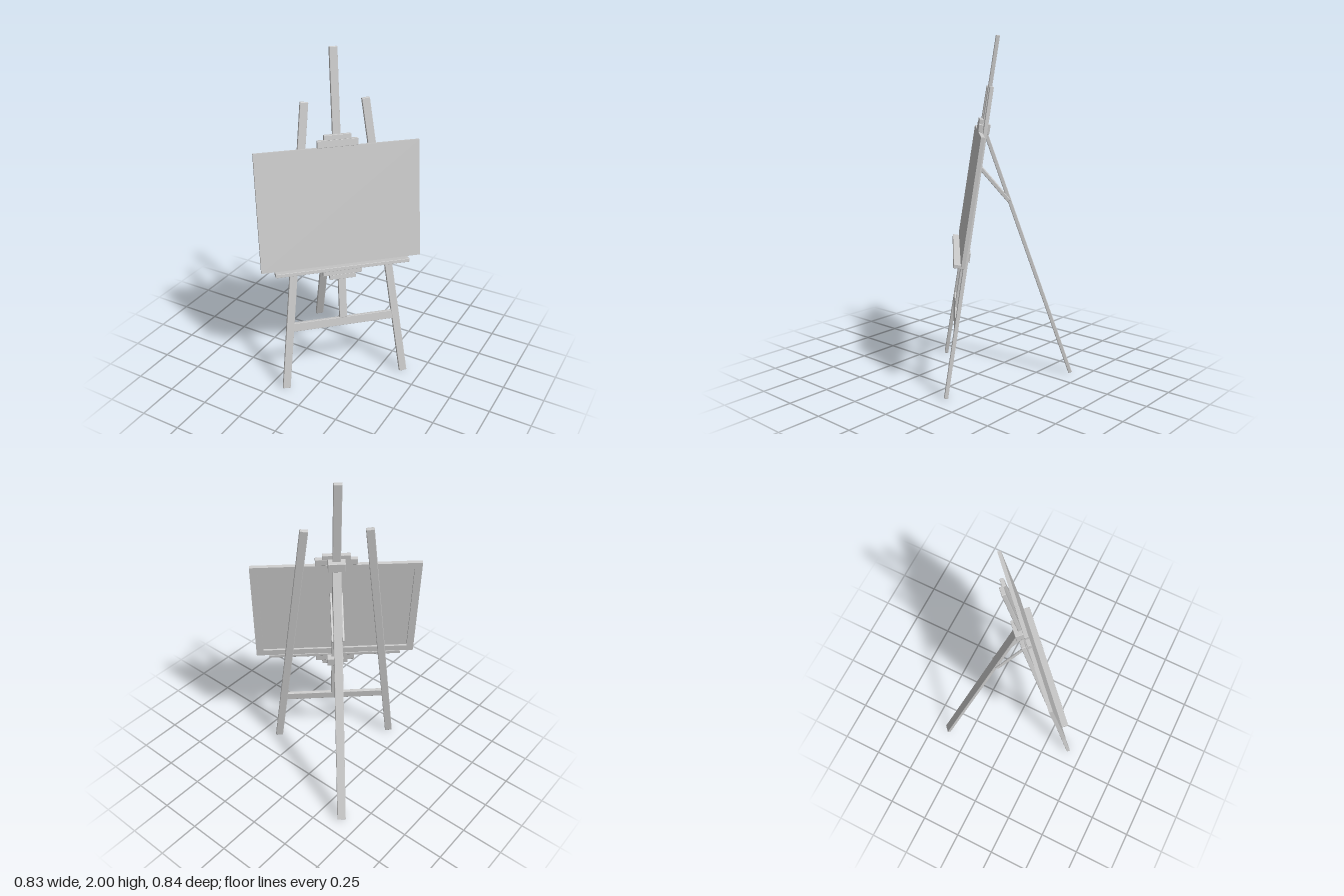
import * as THREE from 'three';
import { RoundedBoxGeometry } from 'three/addons/geometries/RoundedBoxGeometry.js';

const material = new THREE.MeshStandardMaterial({ color: 0xcccccc, flatShading: true });

// Box given by its min and max on each axis
function block(parent, name, [x0, x1], [y0, y1], [z0, z1], bevel = 0.002) {
  const size = [x1 - x0, y1 - y0, z1 - z0];
  const geometry = bevel ? new RoundedBoxGeometry(...size, 1, bevel) : new THREE.BoxGeometry(...size);
  const mesh = new THREE.Mesh(geometry, material);
  mesh.name = name;
  mesh.position.set((x0 + x1) / 2, (y0 + y1) / 2, (z0 + z1) / 2);
  parent.add(mesh);
  return mesh;
}

// Straight wooden bar running from one point to another
function bar(parent, name, from, to, width, thickness) {
  const a = new THREE.Vector3(...from), b = new THREE.Vector3(...to);
  const mesh = new THREE.Mesh(new RoundedBoxGeometry(width, a.distanceTo(b), thickness, 1, 0.003), material);
  mesh.name = name;
  mesh.position.copy(a).lerp(b, 0.5);
  mesh.quaternion.setFromUnitVectors(new THREE.Vector3(0, 1, 0), b.sub(a).normalize());
  parent.add(mesh);
  return mesh;
}

// Stepped clamp that slides on the mast; dir is 1 for upward steps, -1 for downward
function clamp(parent, name, v, dir) {
  const group = new THREE.Group();
  group.name = name;
  const span = (a, b) => [v + dir * a, v + dir * b].sort((p, q) => p - q);
  block(group, 'clampWideStep', [-0.117, 0.117], span(0, 0.042), [0.011, 0.034]);
  block(group, 'clampNarrowStep', [-0.078, 0.078], span(0.04, 0.07), [0.011, 0.034]);
  block(group, 'clampBackBlock', [-0.048, 0.048], span(-0.01, 0.045), [-0.034, 0.012]);
  parent.add(group);
}

export function createModel() {
  const model = new THREE.Group();
  model.name = 'easel';
  const easel = new THREE.Group();
  easel.name = 'turnedEasel';
  easel.rotation.y = 0.752;
  easel.position.set(-0.009, 0, 0.0085);
  model.add(easel);

  // Everything but the rear support lies in one plane that leans back
  const frame = new THREE.Group();
  frame.name = 'leaningFrame';
  frame.position.set(0, 0.005, 0.191);
  frame.rotation.x = -0.151;
  easel.add(frame);

  // Mast, splayed front legs and crossbar
  bar(frame, 'mast', [0, 0.42, 0], [0, 2.017, 0], 0.046, 0.022);
  for (const s of [-1, 1]) {
    bar(frame, s > 0 ? 'leftFrontLeg' : 'rightFrontLeg', [s * 0.369, 0, 0], [s * 0.173, 1.73, 0], 0.046, 0.022);
  }
  block(frame, 'crossbar', [-0.315, 0.315], [0.37, 0.423], [-0.01, 0.01]);

  // Ledge and the two clamps
  block(frame, 'ledge', [-0.398, 0.398], [0.75, 0.772], [0.009, 0.07]);
  clamp(frame, 'upperClamp', 1.473, 1);
  clamp(frame, 'lowerClamp', 0.752, -1);

  // Canvas: front sheet over a stretcher frame that is open at the back
  const canvas = new THREE.Group();
  canvas.name = 'canvas';
  frame.add(canvas);
  block(canvas, 'canvasSheet', [-0.475, 0.475], [0.773, 1.473], [0.022, 0.032], 0);
  const stretcher = new THREE.Shape([[-0.475, 0.773], [0.475, 0.773], [0.475, 1.473], [-0.475, 1.473]]
    .map(p => new THREE.Vector2(...p)));
  stretcher.holes.push(new THREE.Path([[-0.433, 0.815], [-0.433, 1.431], [0.433, 1.431], [0.433, 0.815]]
    .map(p => new THREE.Vector2(...p))));
  const stretcherMesh = new THREE.Mesh(
    new THREE.ExtrudeGeometry(stretcher, { depth: 0.011, bevelEnabled: false }), material);
  stretcherMesh.name = 'stretcherFrame';
  stretcherMesh.position.z = 0.011;
  canvas.add(stretcherMesh);

  // Rear leg hinged behind the upper clamp, with a pair of stay struts
  bar(easel, 'rearLeg', [0, 0.006, -0.558], [0, 1.45, -0.045], 0.05, 0.022);
  for (const s of [-1, 1]) {
    bar(easel, s > 0 ? 'leftStay' : 'rightStay', [s * 0.031, 1.06, -0.18], [s * 0.031, 1.27, 0], 0.011, 0.022);
  }
  return model;
}
